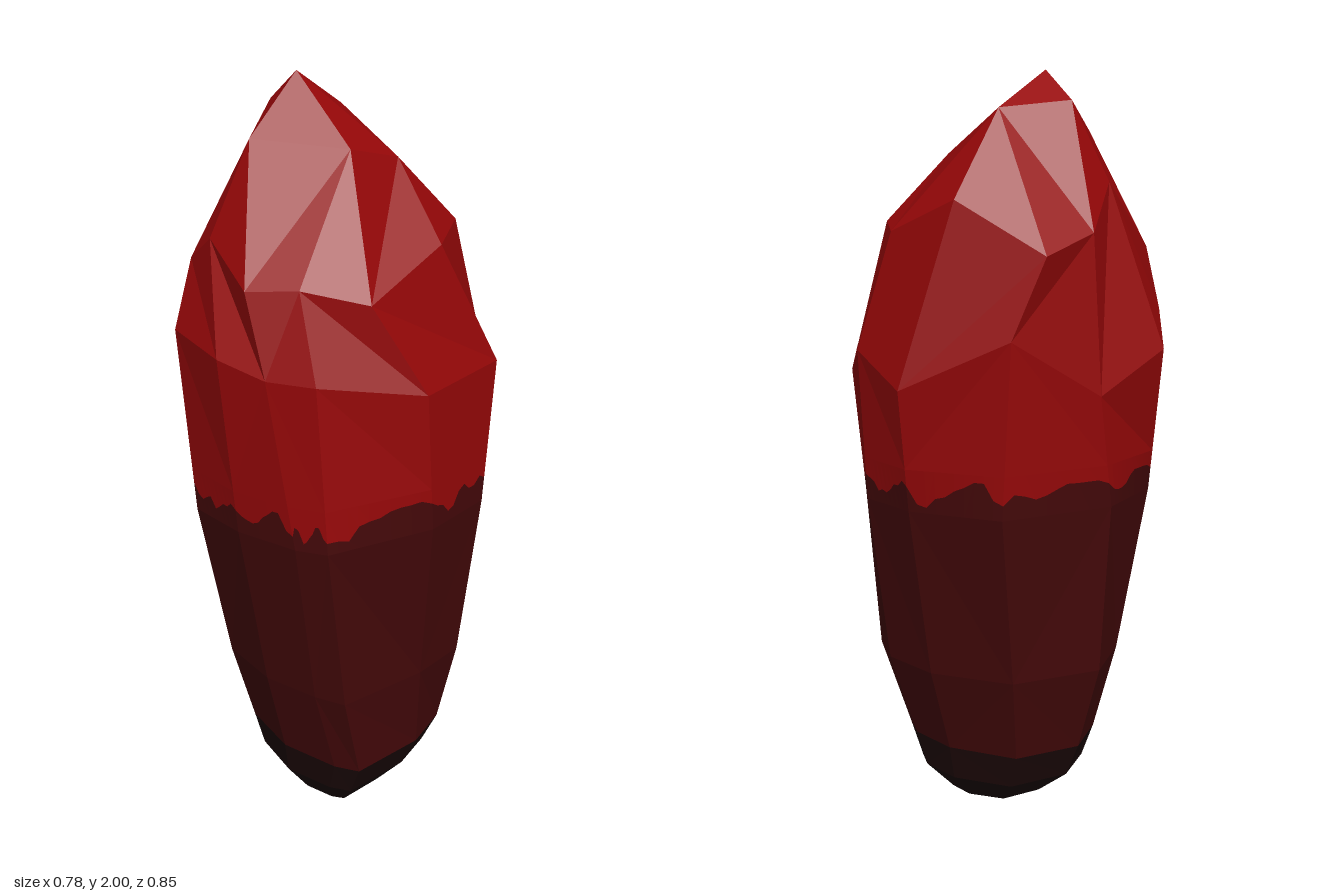
import * as THREE from 'three';

// Cross-sections of twelve corners each, running from the back towards +x
const FOOT = [ // [x, z]
  [-0.02, -0.245], [0.12, -0.235], [0.18, -0.2], [0.28, -0.11], [0.312, 0.03], [0.285, 0.245],
  [0.22, 0.27], [0.05, 0.28], [-0.12, 0.22], [-0.2, 0.14], [-0.265, 0], [-0.2, -0.175],
];
const LOWER = [
  [-0.03, -0.32], [0.14, -0.31], [0.25, -0.245], [0.333, -0.12], [0.335, 0.05], [0.285, 0.305],
  [0.2, 0.325], [0.04, 0.335], [-0.14, 0.285], [-0.25, 0.175], [-0.335, 0], [-0.24, -0.23],
];
const MIDDLE = [
  [-0.03, -0.39], [0.15, -0.37], [0.25, -0.29], [0.375, -0.15], [0.385, 0.08], [0.28, 0.365],
  [0.2, 0.395], [0.02, 0.408], [-0.16, 0.375], [-0.31, 0.225], [-0.367, 0], [-0.27, -0.3],
];
const WAIST = [ // [x, y, z]
  [-0.035, 1.22, -0.425], [0.16, 1.3, -0.385], [0.23, 1.24, -0.345], [0.36, 1.28, -0.215],
  [0.375, 1.27, 0.1], [0.245, 1.33, 0.365], [0.12, 1.33, 0.405], [-0.02, 1.36, 0.425],
  [-0.23, 1.38, 0.36], [-0.393, 1.3, 0.17], [-0.37, 1.2, -0.05], [-0.29, 1.35, -0.29],
];
const SHOULDER = [
  [-0.115, 1.68, -0.305], [0.08, 1.6, -0.335], [0.19, 1.62, -0.25], [0.285, 1.6, -0.06],
  [0.28, 1.5, 0.205], [0.16, 1.54, 0.325], [0.04, 1.53, 0.385], [-0.135, 1.62, 0.32],
  [-0.24, 1.55, 0.285], [-0.27, 1.72, 0.09], [-0.34, 1.6, -0.05], [-0.335, 1.55, -0.215],
];
const CROWN = [
  [-0.1, 1.9, -0.135], [0.115, 1.79, -0.1], [0.11, 1.83, 0.08], [-0.1, 1.85, 0.21], [-0.195, 1.92, 0.03],
];
const CROWN_ORDER = [0, 0, 1, 1, 2, 2, 3, 3, 3, 4, 4, 0]; // crown corner above each shoulder corner

const corners = (list) => list.map((p) => new THREE.Vector3(...p));
const level = (y, list) => corners(list.map(([x, z]) => [x, y, z]));
const tip = (x, y, z) => corners(Array(FOOT.length).fill([x, y, z]));

// The foot outline shrunk and moved, for the rounded underside
const underside = (y, sx, sz, dx, dz) => level(y, FOOT.map(([x, z]) => [x * sx + dx, z * sz + dz]));

// Join successive rings, bottom to top, with outward facets
function skin(rings) {
  const verts = [];
  const tri = (p, q, r) => {
    if (p.distanceTo(q) > 1e-6 && q.distanceTo(r) > 1e-6 && r.distanceTo(p) > 1e-6) verts.push(p, q, r);
  };
  for (let i = 0; i < rings.length - 1; i++) {
    const [lo, hi] = [rings[i], rings[i + 1]];
    lo.forEach((a, k) => {
      const m = (k + 1) % lo.length;
      const [b, c, d] = [lo[m], hi[k], hi[m]];
      // Use the diagonal that keeps the surface bulging outwards
      const normal = b.clone().sub(a).cross(c.clone().sub(a));
      if (normal.dot(d.clone().sub(a)) > 0) {
        tri(b, a, d);
        tri(a, c, d);
      } else {
        tri(b, a, c);
        tri(b, c, d);
      }
    });
  }
  const g = new THREE.BufferGeometry().setFromPoints(verts);
  g.computeVertexNormals();
  return g;
}

// Split each ring edge finely, for the ragged paint line
function subdivide(ring, steps) {
  return ring.flatMap((p, k) => {
    const q = ring[(k + 1) % ring.length];
    return Array.from({ length: steps }, (_, s) => p.clone().lerp(q, s / steps));
  });
}

const noise = (i) => {
  const s = Math.sin(i * 12.9898 + 4.7) * 43758.5453;
  return (s - Math.floor(s)) * 2 - 1;
};

export function createModel() {
  const group = new THREE.Group();
  group.name = 'crystal';
  const colour = (name, hex) => {
    const m = new THREE.MeshStandardMaterial({ color: hex, flatShading: true });
    m.name = name;
    return m;
  };
  const red = colour('deep red', 0x960708);
  const maroon = colour('dark maroon', 0x440809);
  const black = colour('charred black', 0x1d0808);
  const add = (name, rings, material) => {
    const mesh = new THREE.Mesh(skin(rings), material);
    mesh.name = name;
    group.add(mesh);
  };

  const foot = level(0.225, FOOT);
  const waist = corners(WAIST);
  const bandLow = level(0.91, MIDDLE);
  const bandHigh = bandLow.map((p, k) => p.clone().lerp(waist[k], (1.02 - p.y) / (waist[k].y - p.y)));

  // Charred base
  add('base', [tip(0, 0, 0.05), underside(0.04, 0.5, 0.62, 0.025, 0.015),
    underside(0.13, 0.84, 0.92, 0, 0), foot], black);
  // Long, nearly straight lower body
  add('lowerBody', [foot, level(0.46, LOWER), bandLow], maroon);
  // Faceted pointed top
  add('upperBody', [bandHigh, waist, corners(SHOULDER),
    corners(CROWN_ORDER.map((i) => CROWN[i])), tip(-0.075, 2, 0.065)], red);

  // Ragged edge where the two colours meet
  const low = subdivide(bandLow, 10);
  const high = subdivide(bandHigh, 10);
  const edge = low.map((p, i) => {
    const t = 0.48 + 0.17 * Math.sin(i * Math.PI / 5) + 0.2 * noise(Math.floor(i / 2));
    return p.clone().lerp(high[i], t);
  });
  add('lowerEdge', [low, edge], maroon);
  add('upperEdge', [edge, high], red);
  return group;
}
